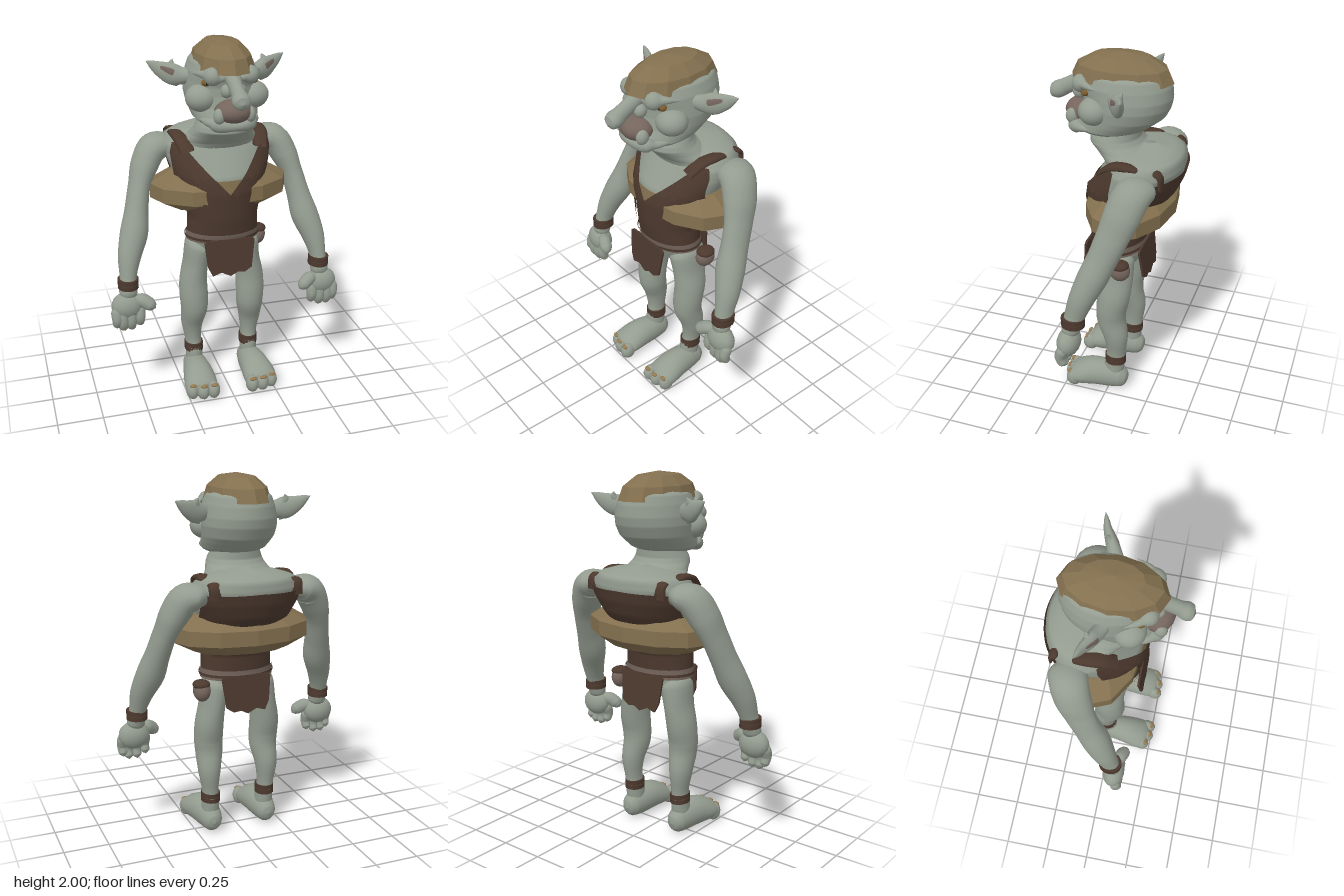
import * as THREE from 'three';
import { ParametricGeometry } from 'three/addons/geometries/ParametricGeometry.js';

const mat = (name, color, opts = {}) => {
  const m = new THREE.MeshStandardMaterial({ color, ...opts });
  m.name = name;
  return m;
};

export function createModel() {
  const model = new THREE.Group();
  model.name = 'goblin';
  const skin = mat('grey green skin', 0x949c90);
  const leather = mat('dark leather', 0x4c392e, { side: THREE.DoubleSide });
  const hide = mat('tan hide', 0x83704f, { flatShading: true, side: THREE.DoubleSide });
  const flesh = mat('dull pink flesh', 0x75655d);
  const nail = mat('yellow nail', 0x967a50);
  const eyeMat = mat('amber eye', 0x7a5a2a);
  const dark = mat('dark pupil', 0x1c1815);

  const add = (name, geometry, material) => {
    const m = new THREE.Mesh(geometry, material);
    m.name = name;
    model.add(m);
    return m;
  };
  const ball = (name, material, [x, y, z], [rx, ry, rz], seg = 16) => {
    const m = add(name, new THREE.SphereGeometry(1, seg, Math.ceil(seg * 0.7)), material);
    m.position.set(x, y, z);
    m.scale.set(rx, ry, rz);
    return m;
  };

  // Tapered tube; points are [x, y, z, radius along ref, radius across]
  const sweep = (name, material, pts, ref, s = 1, sides = 16, steps = pts.length * 4) => {
    const path = new THREE.CatmullRomCurve3(pts.map(p => new THREE.Vector3(p[0] * s, p[1], p[2])));
    const radii = new THREE.CatmullRomCurve3(pts.map(p => new THREE.Vector3(p[3], p[4] ?? p[3], 0)));
    const R = new THREE.Vector3(...ref);
    return add(name, new ParametricGeometry((u, v, out) => {
      v = Math.min(Math.max(v, 0), 1);
      const T = path.getTangent(v), r = radii.getPoint(v);
      const e1 = R.clone().addScaledVector(T, -R.dot(T)).normalize();
      const e2 = T.clone().cross(e1);
      const a = u * Math.PI * 2;
      out.copy(path.getPoint(v))
        .addScaledVector(e1, Math.max(r.x, 0.001) * Math.cos(a))
        .addScaledVector(e2, Math.max(r.y, 0.001) * Math.sin(a));
    }, sides, steps), material);
  };

  // Horizontal sections; rows are [y, front z, back z, half width]
  const section = (rows, y) => {
    let i = 0;
    while (i < rows.length - 2 && y > rows[i + 1][0]) i++;
    const t = THREE.MathUtils.clamp((y - rows[i][0]) / (rows[i + 1][0] - rows[i][0]), 0, 1);
    return rows[i].map((n, k) => n + (rows[i + 1][k] - n) * t);
  };
  // Piece of a sectioned surface between two edges, pushed out by off
  const shell = (name, material, rows, phi0, phi1, low, high, off = 0, nu = 32, nv = 32) =>
    add(name, new ParametricGeometry((u, v, out) => {
      const phi = phi0 + (phi1 - phi0) * u;
      const y0 = low(phi), y = y0 + (high(phi) - y0) * v;
      const [, f, b, w] = section(rows, y);
      out.set((w + off) * Math.sin(phi), y, (f + b) / 2 + ((f - b) / 2 + off) * Math.cos(phi));
    }, nu, nv), material);
  const loft = (name, material, rows) =>
    shell(name, material, rows, -Math.PI, Math.PI, () => rows[0][0], () => rows[rows.length - 1][0]);

  // Torso, neck and head
  const torso = [[0.775, -0.02, -0.023, 0.001], [0.79, 0.04, -0.09, 0.1], [0.82, 0.075, -0.125, 0.16],
    [0.87, 0.1, -0.14, 0.185], [0.95, 0.125, -0.14, 0.185], [1.05, 0.14, -0.15, 0.18], [1.2, 0.148, -0.25, 0.225],
    [1.28, 0.135, -0.31, 0.255], [1.36, 0.09, -0.345, 0.285], [1.43, 0.05, -0.362, 0.3],
    [1.465, 0.03, -0.36, 0.285], [1.5, 0, -0.32, 0.2], [1.53, -0.1, -0.2, 0.02]];
  loft('torso', skin, torso);
  loft('neck', skin, [[1.36, 0.05, -0.28, 0.26], [1.42, 0.045, -0.26, 0.235], [1.46, 0.07, -0.22, 0.205],
    [1.5, 0.115, -0.18, 0.175], [1.53, 0.148, -0.14, 0.16], [1.56, 0.145, -0.12, 0.148], [1.63, 0.1, -0.12, 0.12]]);
  loft('head', skin, [[1.565, 0.1, 0.08, 0.001], [1.58, 0.2, -0.07, 0.13], [1.61, 0.235, -0.16, 0.168],
    [1.64, 0.215, -0.2, 0.178], [1.68, 0.19, -0.25, 0.188], [1.73, 0.18, -0.275, 0.195], [1.78, 0.18, -0.285, 0.192],
    [1.84, 0.2, -0.28, 0.182], [1.885, 0.18, -0.265, 0.165], [1.92, 0.13, -0.22, 0.12], [1.94, 0, -0.05, 0.01]]);

  // Face
  sweep('nose', skin, [[0, 1.875, 0.14, 0.001, 0.001], [0, 1.84, 0.185, 0.042, 0.04], [0, 1.805, 0.24, 0.036, 0.042],
    [0, 1.778, 0.29, 0.036, 0.043], [0, 1.757, 0.33, 0.047, 0.046], [0, 1.748, 0.36, 0.04, 0.035],
    [0, 1.746, 0.376, 0.001, 0.001]], [1, 0, 0]);
  ball('mouth', flesh, [0, 1.67, 0.2], [0.098, 0.062, 0.085]);
  sweep('lowerLip', skin, [[-0.16, 1.62, 0.07, 0.001], [-0.11, 1.61, 0.18, 0.024], [0, 1.6, 0.235, 0.024],
    [0.11, 1.61, 0.18, 0.024], [0.16, 1.62, 0.07, 0.001]], [0, 1, 0]);
  for (const s of [1, -1]) {
    ball('cheek', skin, [s * 0.135, 1.72, 0.085], [0.085, 0.072, 0.082], 20);
    ball('jowl', skin, [s * 0.08, 1.655, 0.225], [0.03, 0.042, 0.035]);
    ball('nostril', skin, [s * 0.036, 1.775, 0.2], [0.03, 0.035, 0.035]);
    ball('eye', eyeMat, [s * 0.122, 1.808, 0.135], [0.026, 0.018, 0.022]);
    ball('pupil', dark, [s * 0.122, 1.808, 0.152], [0.009, 0.011, 0.008], 8);
    sweep('brow', skin, [[0.02, 1.835, 0.185, 0.001], [0.06, 1.838, 0.185, 0.022], [0.13, 1.85, 0.138, 0.022],
      [0.18, 1.845, 0.06, 0.001]], [0, 1, 0], s);
    // Pointed ears with a notched upper edge
    sweep('ear', skin, [[0.15, 1.81, -0.02, 0.03, 0.03], [0.2, 1.805, -0.05, 0.045, 0.036], [0.25, 1.812, -0.075, 0.058, 0.032],
      [0.305, 1.835, -0.105, 0.042, 0.022], [0.345, 1.858, -0.12, 0.022, 0.013], [0.375, 1.875, -0.13, 0.001, 0.001]], [0, 1, 0], s);
    sweep('earInner', flesh, [[0.225, 1.805, -0.034, 0.001, 0.001], [0.255, 1.815, -0.05, 0.03, 0.008],
      [0.3, 1.835, -0.083, 0.022, 0.006], [0.335, 1.853, -0.107, 0.001, 0.001]], [0, 1, 0], s);
    sweep('earNotch', skin, [[0.25, 1.83, -0.08, 0.03, 0.02], [0.25, 1.86, -0.09, 0.02, 0.016],
      [0.24, 1.885, -0.1, 0.001, 0.001]], [1, 0, 0], s, 8);
    sweep('earLobe', skin, [[0.24, 1.79, -0.07, 0.03, 0.025], [0.235, 1.765, -0.07, 0.02, 0.02],
      [0.225, 1.748, -0.07, 0.001, 0.001]], [1, 0, 0], s, 8);
  }

  // Faceted cap and the hide roll round the chest
  const faceted = (name, profile, rx, rz, z) => {
    const m = add(name, new THREE.LatheGeometry(profile.map(p => new THREE.Vector2(...p)), 12), hide);
    m.scale.set(rx, 1, rz);
    m.position.z = z;
  };
  faceted('cap', [[1, 1.86], [0.88, 1.93], [0.55, 1.982], [0.001, 2]], 0.16, 0.27, -0.02);
  faceted('chestRoll', [[0.001, 1.08], [0.7, 1.08], [1, 1.14], [1, 1.22], [0.7, 1.285], [0.001, 1.3]], 0.385, 0.235, -0.085);

  // Vest with a V neck, armholes and a high back, over a hide chest wrap
  const edge = [[0, 1.2], [0.12, 1.31], [0.25, 1.46], [0.34, 1.45], [0.4, 1.3], [0.5, 1.24], [0.58, 1.28], [0.66, 1.41], [1, 1.42]];
  const vestTop = phi => section(edge, Math.abs(phi) / Math.PI)[1];
  shell('chestWrap', hide, torso, -0.6, 0.6, () => 1.18, () => 1.275, 0.009, 12, 3);
  shell('vest', leather, torso, -Math.PI, Math.PI, () => 0.94, vestTop, 0.014, 72, 20);
  shell('belt', flesh, torso, -Math.PI, Math.PI, () => 0.91, () => 0.965, 0.021, 40, 2);
  shell('beltTrim', leather, torso, -Math.PI, Math.PI, () => 0.925, () => 0.94, 0.026, 40, 1);
  shell('vestPocket', leather, torso, -0.95, -0.5, () => 1.04, () => 1.15, 0.024, 6, 4);
  for (const [name, a, b] of [['lapelRight', -0.95, 0], ['lapelLeft', 0, 0.95]]) {
    shell(name, leather, torso, a, b, p => vestTop(p) - 0.1 - 0.03 * Math.sin(p * 9) ** 2, vestTop, 0.024, 14, 4);
  }

  // Loincloth flaps, hanging slightly outward
  const flap = new THREE.Shape([[-0.125, 0.21], [0.125, 0.21], [0.14, 0.2], [0.12, 0.04], [0.08, 0.015],
    [0.04, 0.02], [0, 0], [-0.05, 0.025], [-0.1, 0.01], [-0.125, 0.06], [-0.14, 0.2]].map(p => new THREE.Vector2(...p)));
  for (const [name, z, tilt] of [['frontFlap', 0.158, -0.1], ['backFlap', -0.19, 0.12]]) {
    const m = add(name, new THREE.ExtrudeGeometry(flap, { depth: 0.012, bevelEnabled: false }), leather);
    m.position.set(0, 0.73, z);
    m.rotation.x = tilt;
  }

  // Belt pouch
  ball('pouch', flesh, [0.225, 0.855, -0.08], [0.047, 0.06, 0.058]);
  ball('pouchFlap', leather, [0.228, 0.89, -0.08], [0.048, 0.025, 0.052]);

  const bands = (name, s, [x, y, z], rx, rz, tilt) => {
    for (const dy of [-0.014, 0.014]) {
      const m = add(name, new THREE.CylinderGeometry(1, 1, 0.025, 16), leather);
      m.position.set(s * x, y + dy, z);
      m.scale.set(rx, 1, rz);
      m.rotation.z = s * tilt;
    }
  };

  for (const s of [1, -1]) {
    // Torn strap ends, leaving the shoulder top bare
    sweep('frontStrap', leather, [[0.2, 1.42, 0.035, 0.04, 0.01], [0.215, 1.465, -0.03, 0.045, 0.016],
      [0.23, 1.48, -0.11, 0.04, 0.018], [0.235, 1.475, -0.17, 0.03, 0.012], [0.235, 1.47, -0.19, 0.001, 0.001]], [1, 0, 0], s, 8);
    sweep('backStrap', leather, [[0.225, 1.465, -0.25, 0.001, 0.001], [0.225, 1.468, -0.265, 0.035, 0.012],
      [0.22, 1.45, -0.29, 0.04, 0.014], [0.22, 1.39, -0.295, 0.04, 0.012]], [1, 0, 0], s, 8);

    // Arms; first radius runs front to back
    sweep('arm', skin, [[0.22, 1.39, -0.22, 0.03, 0.03], [0.28, 1.4, -0.2, 0.1, 0.065], [0.345, 1.385, -0.18, 0.1, 0.08],
      [0.4, 1.3, -0.15, 0.097, 0.074], [0.437, 1.2, -0.115, 0.086, 0.06], [0.465, 1.08, -0.07, 0.08, 0.064],
      [0.49, 0.97, -0.025, 0.08, 0.076], [0.53, 0.85, 0.025, 0.067, 0.063], [0.548, 0.74, 0.06, 0.054, 0.046],
      [0.553, 0.66, 0.08, 0.05, 0.05], [0.555, 0.6, 0.09, 0.001, 0.001]], [0, 0, 1], s, 18);
    bands('wristBand', s, [0.55, 0.717, 0.066], 0.057, 0.064, 0);
    ball('palm', skin, [s * 0.563, 0.59, 0.087], [0.088, 0.078, 0.062]);
    sweep('thumb', skin, [[0.53, 0.63, 0.09, 0.02], [0.48, 0.62, 0.11, 0.038], [0.445, 0.598, 0.125, 0.036],
      [0.425, 0.582, 0.13, 0.022], [0.416, 0.575, 0.132, 0.001]], [0, 1, 0], s, 10);
    // Half-curled fingers
    [0.5, 0.547, 0.592, 0.625].forEach((x, i) => {
      const y = [0.485, 0.465, 0.465, 0.485][i];
      sweep('finger', skin, [[x, 0.6, 0.09, 0.012], [x, 0.56, 0.105, 0.032], [x, y + 0.035, 0.115, 0.029],
        [x, y, 0.1, 0.024], [x, y - 0.016, 0.09, 0.001]], [1, 0, 0], s, 10);
      ball('fingernail', nail, [s * x, y + 0.002, 0.12], [0.014, 0.012, 0.006], 8);
    });

    // Legs with swollen knees and calves
    sweep('leg', skin, [[0.11, 0.92, -0.02, 0.03, 0.03], [0.13, 0.86, -0.025, 0.105, 0.078], [0.15, 0.75, -0.03, 0.1, 0.07],
      [0.165, 0.64, -0.025, 0.093, 0.078], [0.166, 0.55, -0.012, 0.086, 0.08], [0.164, 0.48, -0.012, 0.083, 0.077],
      [0.172, 0.37, -0.04, 0.07, 0.063], [0.168, 0.25, -0.04, 0.055, 0.046], [0.165, 0.17, -0.03, 0.06, 0.048],
      [0.165, 0.08, -0.03, 0.05, 0.05]], [0, 0, 1], s, 18);
    bands('ankleBand', s, [0.165, 0.212, -0.036], 0.053, 0.061, 0.04);

    // Feet with three big toes
    sweep('foot', skin, [[0.165, 0.072, -0.113, 0.001, 0.001], [0.165, 0.073, -0.102, 0.035, 0.04], [0.165, 0.075, -0.075, 0.055, 0.066],
      [0.166, 0.083, 0, 0.072, 0.082], [0.17, 0.085, 0.09, 0.085, 0.083], [0.175, 0.069, 0.17, 0.094, 0.068],
      [0.176, 0.055, 0.215, 0.085, 0.05], [0.176, 0.05, 0.24, 0.001, 0.001]], [1, 0, 0], s, 18);
    [0.115, 0.175, 0.232].forEach((x, i) => {
      const z = [0.222, 0.22, 0.2][i];
      ball('toe', skin, [s * x, 0.054, z], [0.037, 0.052, 0.047], 12);
      ball('toenail', nail, [s * x, 0.094, z + 0.022], [0.022, 0.01, 0.014], 8);
    });
  }
  return model;
}
